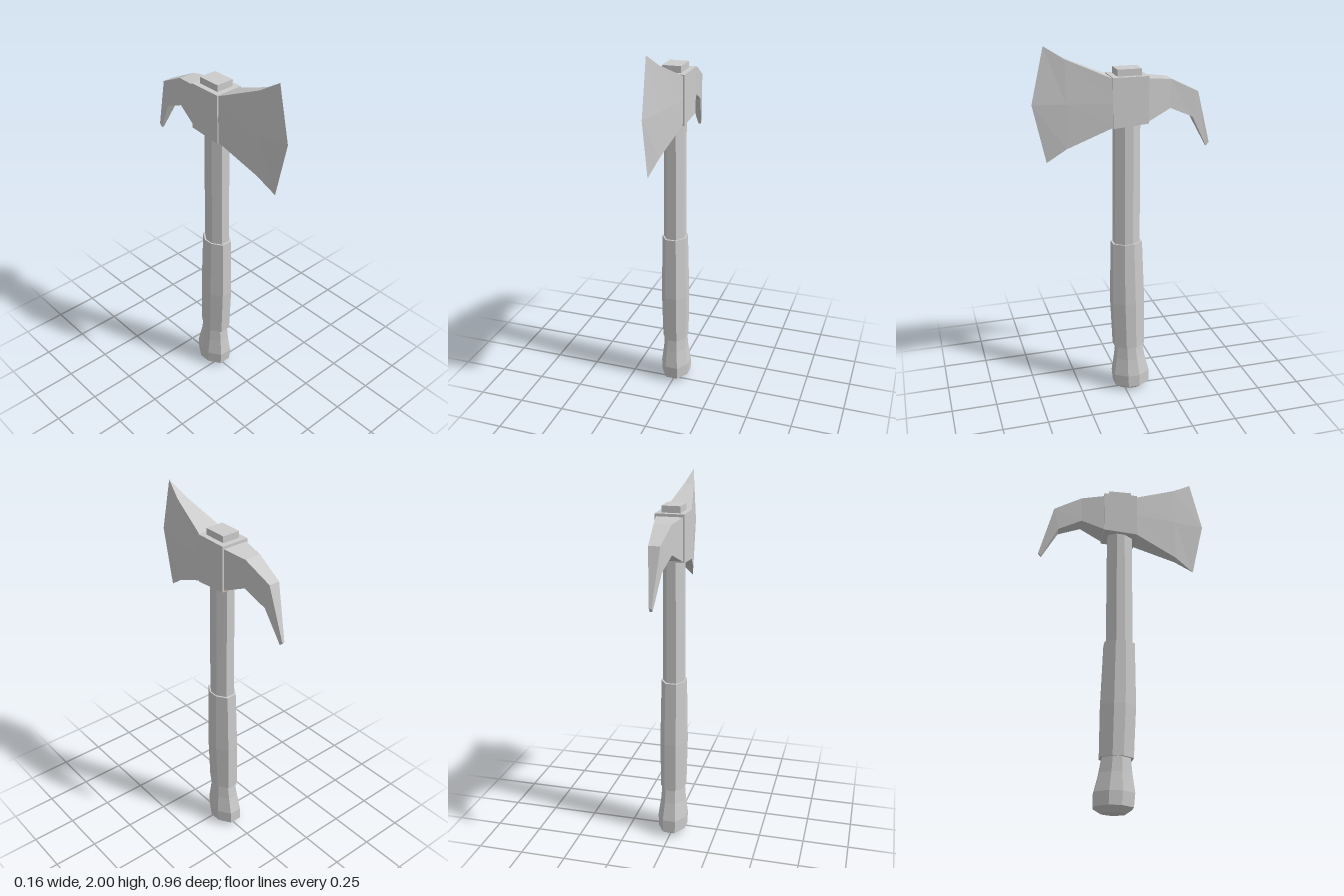
import * as THREE from 'three';

const steel = new THREE.MeshStandardMaterial({ color: 0xcccccc });
steel.name = 'light grey';

// Skin a list of rings; each ring runs counter-clockwise seen from the direction of travel
function loft(name, rings, capEnd = true) {
  const pos = [];
  const tri = (a, b, c) => pos.push(...a, ...b, ...c);
  const n = rings[0].length;
  for (let r = 0; r < rings.length - 1; r++) {
    const a = rings[r], b = rings[r + 1];
    for (let i = 0; i < n; i++) {
      const j = (i + 1) % n;
      tri(a[i], a[j], b[j]);
      tri(a[i], b[j], b[i]);
    }
  }
  const last = rings[rings.length - 1];
  for (let i = 1; i < n - 1; i++) {
    tri(rings[0][0], rings[0][i + 1], rings[0][i]);
    if (capEnd) tri(last[0], last[i], last[i + 1]);
  }
  const geo = new THREE.BufferGeometry();
  geo.setAttribute('position', new THREE.Float32BufferAttribute(pos, 3));
  geo.computeVertexNormals();
  const mesh = new THREE.Mesh(geo, steel);
  mesh.name = name;
  return mesh;
}

// Horizontal chamfered octagon: height, half width, front z, back z
function octagon([y, w, front, back]) {
  const c = (front + back) / 2, h = (front - back) / 2;
  const u = w * 0.45, v = h * 0.33;
  return [[w, v], [w, -v], [u, -h], [-u, -h], [-w, -v], [-w, v], [-u, h], [u, h]]
    .map(([x, z]) => [x, y, c + z]);
}

// Horizontal rectangle with separate front and back heights
const rect = (w, front, back, yFront, yBack) =>
  [[w, yFront, front], [w, yBack, back], [-w, yBack, back], [-w, yFront, front]];

// Six-sided blade section from [y, z, half width] for bottom, middle and top
const bladeRing = (bottom, middle, top) => [
  ...[bottom, middle, top].map(([y, z, w]) => [w, y, z]),
  ...[top, middle, bottom].map(([y, z, w]) => [-w, y, z]),
];

// Four-sided pick section: half width, top z and y, bottom z and y
const pickRing = ([w, zt, yt, zb, yb]) =>
  [[-w, yb, zb], [-w, yt, zt], [w, yt, zt], [w, yb, zb]];

export function createModel() {
  const axe = new THREE.Group();
  axe.name = 'axe';

  // Handle, from the pommel upwards
  axe.add(loft('pommel', [
    [0, 0.043, 0.018, -0.103],
    [0.028, 0.077, 0.056, -0.143],
    [0.1, 0.079, 0.063, -0.143],
    [0.2, 0.066, 0.05, -0.118],
    [0.29, 0.06, 0.042, -0.102],
  ].map(octagon)));
  axe.add(loft('grip', [
    [0.28, 0.068, 0.058, -0.115],
    [0.56, 0.072, 0.071, -0.112],
    [0.92, 0.065, 0.067, -0.097],
  ].map(octagon)));
  axe.add(loft('shaft', [
    [0.91, 0.058, 0.056, -0.084],
    [1.62, 0.055, 0.054, -0.083],
  ].map(octagon)));

  // Head block and the handle end above it
  axe.add(loft('headBlock', [
    rect(0.078, 0.077, -0.113, 1.578, 1.594),
    rect(0.078, 0.077, -0.113, 1.84, 1.84),
  ]));
  axe.add(loft('topCap', [
    rect(0.05, 0.047, -0.082, 1.83, 1.83),
    rect(0.05, 0.047, -0.082, 1.875, 1.875),
  ]));

  // Flared blade, tapering to a sharp edge at the front
  axe.add(loft('blade', [
    bladeRing([1.585, 0.07, 0.071], [1.71, 0.07, 0.073], [1.832, 0.07, 0.071]),
    bladeRing([1.476, 0.31, 0.026], [1.71, 0.31, 0.032], [1.935, 0.31, 0.026]),
    bladeRing([1.403, 0.413, 0], [1.71, 0.48, 0], [2.0, 0.413, 0]),
  ], false));

  // Curved pick at the back
  axe.add(loft('pick', [
    [0.07, -0.11, 1.826, -0.11, 1.6],
    [0.046, -0.242, 1.812, -0.24, 1.66],
    [0.03, -0.397, 1.736, -0.37, 1.602],
    [0.007, -0.476, 1.45, -0.46, 1.43],
  ].map(pickRing)));

  return axe;
}
